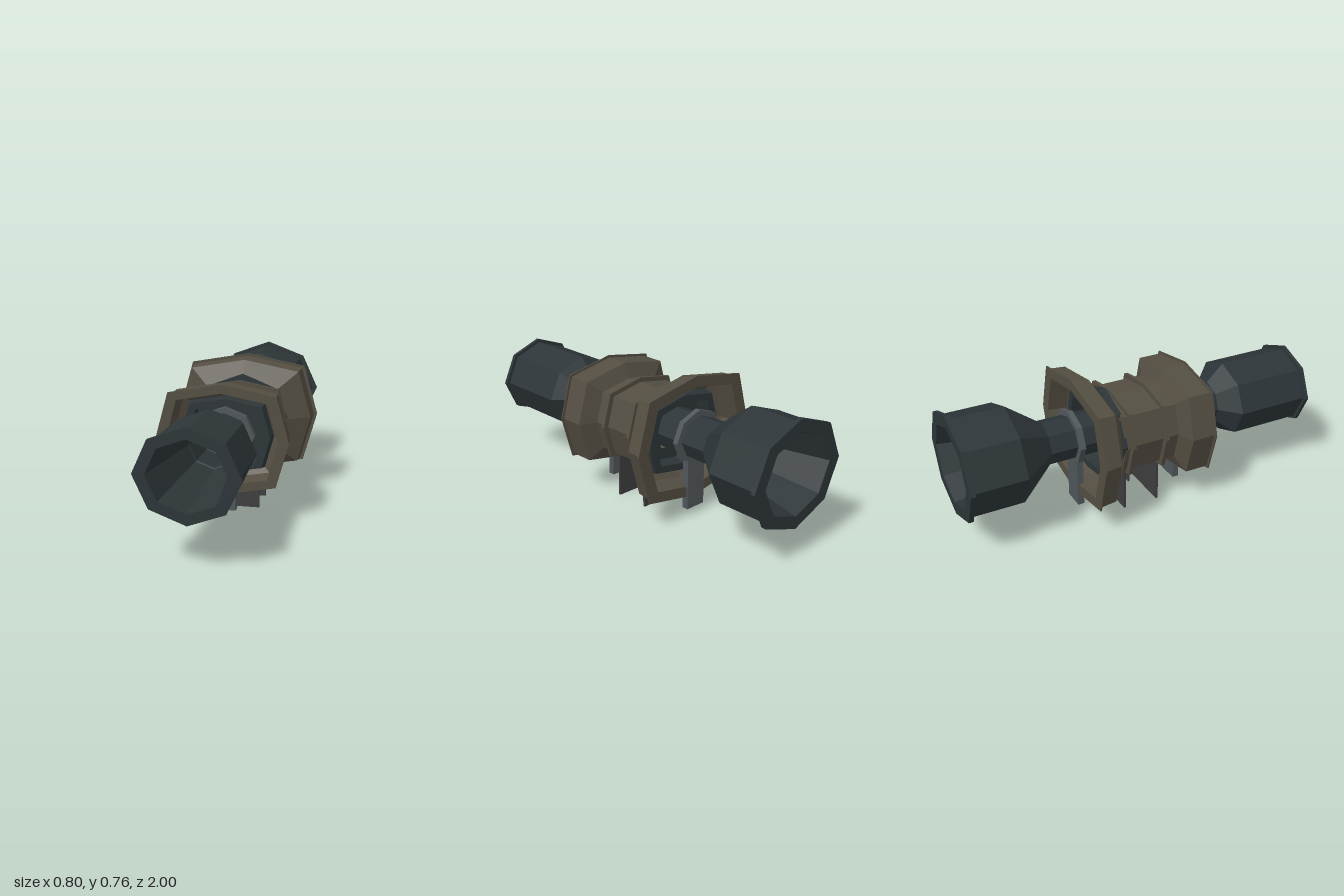
import * as THREE from 'three';

const mat = (color) => new THREE.MeshStandardMaterial({ color, flatShading: true, side: THREE.DoubleSide });

// Eight-sided cross-sections with a half-width of 1, starting at the top corner
const c = Math.SQRT1_2;
const OCTAGON = [[0, 0.9], [c, 0.9 * c], [1, 0], [c, -0.9 * c], [0, -0.9], [-c, -0.9 * c], [-1, 0], [-c, 0.9 * c]];
const SHIELD = [[0, 0.83], [0.81, 0.68], [1, 0], [0.81, -0.68], [0, -0.83], [-0.81, -0.68], [-1, 0], [-0.81, 0.68]];

// Sweeps a profile of [half-width, z] points around the long axis with the given cross-section
function sweep(name, profile, section, material, y) {
  const geo = new THREE.LatheGeometry(profile.map(([r, z]) => new THREE.Vector2(r, z)), 8);
  const p = geo.attributes.position;
  for (let i = 0; i < p.count; i++) {
    const r = Math.hypot(p.getX(i), p.getZ(i));
    const k = (Math.round(Math.atan2(p.getX(i), -p.getZ(i)) / (Math.PI / 4)) + 8) % 8;
    p.setXYZ(i, r * section[k][0], r * section[k][1], p.getY(i));
  }
  geo.computeVertexNormals();
  const mesh = new THREE.Mesh(geo, material);
  mesh.name = name;
  mesh.position.y = y;
  return mesh;
}

function plate(name, width, bottom, top, z, depth, material) {
  const mesh = new THREE.Mesh(new THREE.BoxGeometry(width, top - bottom, depth), material);
  mesh.name = name;
  mesh.position.set(0, (bottom + top) / 2, z);
  return mesh;
}

export function createModel() {
  const group = new THREE.Group();
  const dark = mat(0x2d3538), brown = mat(0x544e42), grey = mat(0x50565a), iron = mat(0x3e3e3e);
  const tubeY = 0.445, bodyY = 0.432;
  const tube = (name, profile, m = dark) => group.add(sweep(name, profile, OCTAGON, m, tubeY));
  const body = (name, profile, m = brown) => group.add(sweep(name, profile, SHIELD, m, bodyY));
  // Closed ring with a rectangular section
  const band = (inner, outer, z0, z1) => [[inner, z0], [outer, z0], [outer, z1], [inner, z1], [inner, z0]];

  // Long barrel with a flared tube at each end
  tube('barrel', [[0.128, -0.51], [0.128, 0.48]]);
  tube('frontTube', [[0.128, 0.48], [0.23, 0.575], [0.23, 0.98], [0.25, 0.98], [0.25, 1], [0.19, 1], [0.128, 0.5]]);
  tube('rearTube', [[0.128, -0.53], [0.24, -1], [0.315, -1], [0.315, -0.975], [0.29, -0.975], [0.29, -0.7], [0.128, -0.51]]);

  // Central body with raised bands
  body('centralBody', [[0.235, -0.17], [0.235, 0.17]]);
  for (const z of [0.085, -0.11]) body('bodyBand', band(0.23, 0.265, z - 0.01, z + 0.01));
  body('rearCollar', band(0.23, 0.25, -0.155, -0.135));
  tube('darkCollar', band(0.2, 0.255, -0.185, -0.145));

  // Open housings with a thin lip around the mouth
  body('frontHousing', [[0.235, 0.165], [0.33, 0.2], [0.33, 0.328], [0.345, 0.328], [0.345, 0.335],
    [0.29, 0.335], [0.28, 0.22], [0.235, 0.19]]);
  body('rearHousing', [[0.25, -0.19], [0.31, -0.235], [0.33, -0.34], [0.4, -0.34], [0.4, -0.333],
    [0.383, -0.333], [0.375, -0.24], [0.25, -0.17]]);

  // Recessed dark linings and clamp rings for each end
  body('frontLining', [[0.12, 0.18], [0.19, 0.18], [0.195, 0.25], [0.235, 0.25], [0.25, 0.18]], dark);
  body('rearLining', [[0.265, -0.18], [0.25, -0.26], [0.205, -0.26], [0.195, -0.185], [0.12, -0.185]], dark);
  tube('frontClamp', band(0.126, 0.16, 0.245, 0.28), grey);
  tube('rearClamp', band(0.126, 0.16, -0.365, -0.335), grey);

  // Supports below the barrel and body
  group.add(plate('frontSupport', 0.12, 0.04, 0.33, 0.258, 0.036, grey));
  group.add(plate('rearSupport', 0.12, 0.04, 0.33, -0.33, 0.036, grey));
  for (const z of [0.087, -0.11]) group.add(plate('basePlate', 0.3, 0, 0.26, z, 0.012, iron));
  for (const z of [0.105, -0.047]) group.add(plate('smallPlate', 0.148, 0.108, 0.26, z, 0.008, iron));
  return group;
}
